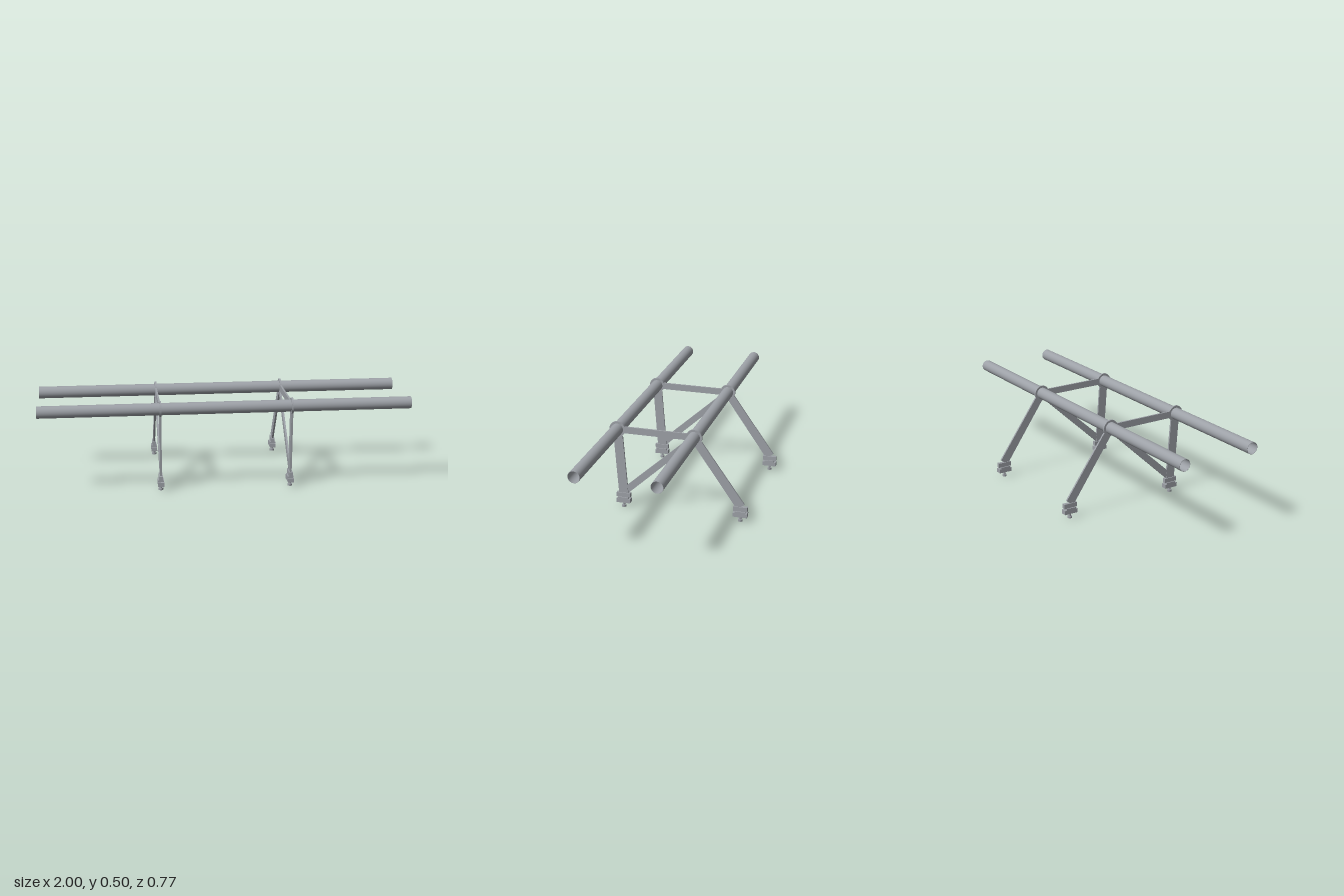
import * as THREE from 'three';

const steel = new THREE.MeshStandardMaterial({ color: 0x9da1a7 });
steel.name = 'greySteel';

const PLATE = 0.01;
const TUBE_Y = 0.457;
const TUBE_Z = [0.341, -0.088];
const FOOT_Z = [0.314, -0.3455];

function add(parent, name, geometry, x = 0, y = 0, z = 0) {
  const mesh = new THREE.Mesh(geometry, steel);
  mesh.name = name;
  mesh.position.set(x, y, z);
  parent.add(mesh);
  return mesh;
}

// Flat plate from a (z, y) outline, centred on x = 0
function plate(shape) {
  const g = new THREE.ExtrudeGeometry(shape, { depth: PLATE, bevelEnabled: false, curveSegments: 40 });
  g.translate(0, 0, -PLATE / 2);
  g.rotateY(-Math.PI / 2);
  return g;
}

function outline(points) {
  return new THREE.Shape(points.map(([z, y]) => new THREE.Vector2(z, y)));
}

function circle(Type, z, y, r) {
  const c = new Type();
  c.absarc(z, y, r, 0, Math.PI * 2);
  return c;
}

// Clamp foot with an adjusting bolt underneath
function createFoot(z) {
  const foot = new THREE.Group();
  foot.name = 'clampFoot';
  foot.position.z = z;
  add(foot, 'upperClampBlock', new THREE.BoxGeometry(0.02, 0.025, 0.078), 0, 0.0725);
  add(foot, 'clampNeck', new THREE.BoxGeometry(0.033, 0.01, 0.056), 0, 0.055);
  add(foot, 'lowerClampBlock', new THREE.BoxGeometry(0.033, 0.023, 0.078), 0, 0.0395);
  add(foot, 'boltShank', new THREE.CylinderGeometry(0.007, 0.007, 0.018, 20), 0, 0.019);
  add(foot, 'boltHead', new THREE.CylinderGeometry(0.0125, 0.0125, 0.011, 24), 0, 0.0055);
  return foot;
}

// One bracket: two collars, two legs, a top bar and a diagonal brace
function createBracket(x) {
  const bracket = new THREE.Group();
  bracket.name = 'supportBracket';
  bracket.position.x = x;

  for (const z of TUBE_Z) {
    const ring = circle(THREE.Shape, z, TUBE_Y, 0.044);
    ring.holes.push(circle(THREE.Path, z, TUBE_Y, 0.032));
    add(bracket, 'tubeCollar', plate(ring));
  }

  const frontLeg = outline([[0.34, 0.083], [0.363, 0.42], [0.312, 0.42], [0.288, 0.083]]);
  frontLeg.holes.push(circle(THREE.Path, 0.324, 0.222, 0.014));
  add(bracket, 'frontLeg', plate(frontLeg));
  add(bracket, 'rearLeg', plate(outline(
    [[-0.088, 0.414], [-0.317, 0.083], [-0.343, 0.083], [-0.367, 0.1], [-0.129, 0.436]])));
  add(bracket, 'topBar', plate(outline(
    [[0.302, 0.438], [0.302, 0.475], [-0.049, 0.475], [-0.049, 0.438]])));
  add(bracket, 'diagonalBrace', plate(outline(
    [[0.285, 0.087], [0.292, 0.133], [-0.047, 0.438], [-0.072, 0.415]])));

  for (const z of FOOT_Z) bracket.add(createFoot(z));
  return bracket;
}

// Thin-walled open tube lying along x
function createTube(z) {
  const walls = [
    [[0.0325, -1], [0.0325, 1]],
    [[0.0325, 1], [0.031, 1]],
    [[0.031, 1], [0.031, -1]],
    [[0.031, -1], [0.0325, -1]],
  ];
  const tube = new THREE.Group();
  tube.name = 'rackTube';
  tube.position.set(0, TUBE_Y, z);
  const names = ['outerWall', 'endRim', 'innerWall', 'endRim'];
  walls.forEach((pts, i) => {
    const g = new THREE.LatheGeometry(pts.map(([r, h]) => new THREE.Vector2(r, h)), 48);
    g.rotateZ(-Math.PI / 2);
    add(tube, names[i], g);
  });
  return tube;
}

export function createModel() {
  const model = new THREE.Group();
  model.name = 'tubeRack';
  for (const z of TUBE_Z) model.add(createTube(z));
  for (const x of [-0.352, 0.352]) model.add(createBracket(x));
  return model;
}
